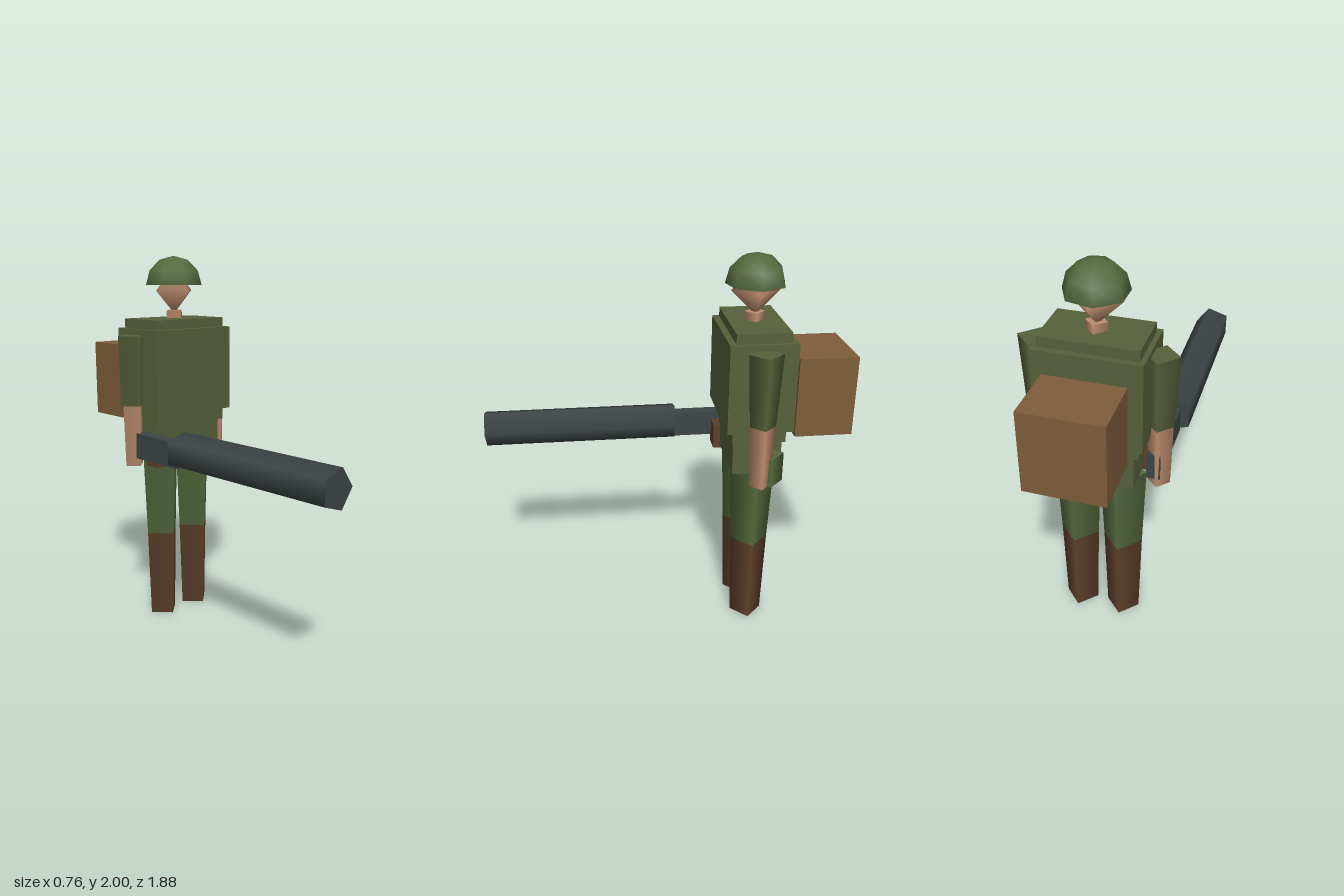
import * as THREE from 'three';

const paint = (name, color) => {
  const m = new THREE.MeshStandardMaterial({ color });
  m.name = name;
  return m;
};

export function createModel() {
  const olive = paint('jacket olive', 0x56613a);
  const green = paint('cloth green', 0x55693d);
  const skin = paint('skin', 0xbd8d6e);
  const leather = paint('dark leather', 0x5e402b);
  const canvas = paint('pack brown', 0x7f5d3a);
  const steel = paint('gun steel', 0x3d4547);

  const Z = -0.452; // depth of the body's centre line
  const model = new THREE.Group();
  model.name = 'soldier';

  const add = (name, geometry, material, x = 0, y = 0, z = Z) => {
    const mesh = new THREE.Mesh(geometry, material);
    mesh.name = name;
    mesh.position.set(x, y, z);
    model.add(mesh);
    return mesh;
  };
  const box = (name, material, w, d, y0, y1, x = 0, z = Z) =>
    add(name, new THREE.BoxGeometry(w, y1 - y0, d), material, x, (y0 + y1) / 2, z);
  // four-sided tapered limb with its corners on the axes
  const limb = (name, material, r0, r1, y0, y1, x = 0, z = Z) =>
    add(name, new THREE.CylinderGeometry(r1, r0, y1 - y0, 4), material, x, (y0 + y1) / 2, z);

  // torso
  box('innerJacket', olive, 0.466, 0.27, 1.1, 1.67);
  box('vest', olive, 0.512, 0.334, 1.165, 1.62);
  box('hips', olive, 0.408, 0.248, 0.917, 1.1);

  // head and helmet
  limb('neck', skin, 0.053, 0.053, 1.66, 1.712);
  add('head', new THREE.SphereGeometry(0.124, 4, 2), skin, 0, 1.818);
  const shell = new THREE.SphereGeometry(0.153, 7, 3, 0, Math.PI * 2, 0, Math.PI / 2);
  shell.rotateY(Math.PI);
  add('helmet', shell, green, 0, 1.847);
  add('helmetBase', new THREE.CircleGeometry(0.153, 7).rotateX(Math.PI / 2), green, 0, 1.847);

  // arms and legs
  for (const [side, s] of [['left', 1], ['right', -1]]) {
    limb(side + 'Sleeve', olive, 0.065, 0.085, 1.22, 1.59, s * 0.294);
    limb(side + 'Forearm', skin, 0.055, 0.063, 0.895, 1.22, s * 0.294);
    limb(side + 'Trouser', green, 0.1, 0.118, 0.48, 0.925, s * 0.115);
    limb(side + 'Boot', leather, 0.086, 0.1, 0, 0.48, s * 0.115);
  }

  // carried gear
  box('backpack', canvas, 0.388, 0.296, 1.108, 1.52, 0, -0.792);
  limb('canteen', green, 0.078, 0.078, 0.895, 1.05, 0.25, -0.5);
  box('beltPouch', leather, 0.105, 0.1, 0.895, 1.03, -0.207, -0.342);

  // gun: flat stock and a five-sided barrel along z
  box('gunStock', steel, 0.066, 0.42, 0.938, 1.073, -0.277, -0.29);
  const barrel = new THREE.CylinderGeometry(0.099, 0.099, 1.027, 5);
  barrel.rotateY(Math.PI / 2).rotateX(Math.PI / 2);
  add('gunBarrel', barrel, steel, -0.274, 1.027, 0.4265);

  return model;
}
